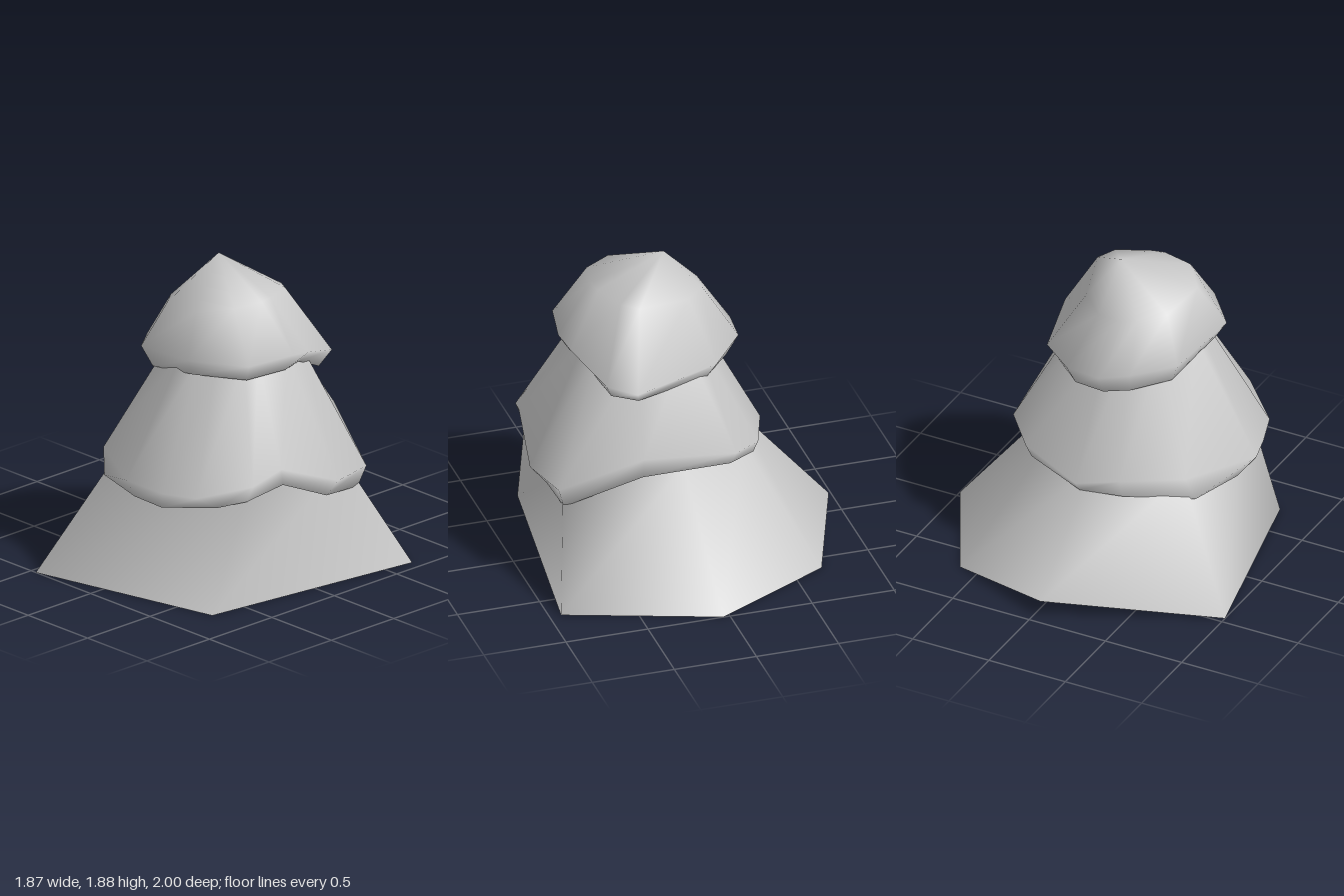
import * as THREE from 'three';

// Skins a stack of closed rings (lowest first); an optional apex closes the top.
function loft(rings, apex) {
  const n = rings[0].length;
  const index = [];
  for (let r = 0; r < rings.length - 1; r++) {
    for (let i = 0; i < n; i++) {
      const j = (i + 1) % n;
      const a = r * n + i, b = r * n + j, c = a + n, d = b + n;
      index.push(a, c, b, b, c, d);
    }
  }
  const points = rings.flat();
  if (apex) {
    const base = (rings.length - 1) * n;
    for (let i = 0; i < n; i++) index.push(base + i, points.length, base + (i + 1) % n);
    points.push(apex);
  }
  const geometry = new THREE.BufferGeometry();
  geometry.setAttribute('position', new THREE.Float32BufferAttribute(points.flat(), 3));
  geometry.setIndex(index);
  geometry.computeVertexNormals();
  return geometry;
}

// Shrinks a ring around a centre, with a new height for each point.
const shrink = (ring, cx, cz, k, height) => ring.map(([x, , z], i) => {
  const nx = cx + (x - cx) * k;
  return [nx, height(i, nx), cz + (z - cz) * k];
});

export function createModel() {
  const group = new THREE.Group();
  const grey = new THREE.MeshStandardMaterial({ color: 0xc8c8c8, side: THREE.DoubleSide });
  grey.name = 'plain grey';

  const add = (name, geometry) => {
    const mesh = new THREE.Mesh(geometry, grey);
    mesh.name = name;
    group.add(mesh);
  };

  // Bottom tier: six-sided open skirt with one raised corner
  add('bottomTier', loft([
    [[0.93, 0, -0.69], [0.74, 0, 0.73], [-0.46, 0, 1], [-0.935, 0.1, 0.04], [-0.68, 0, -0.62], [0.04, 0, -1]],
    [[0.785, 0.71, -0.28], [0.77, 0.71, 0.48], [-0.2, 0.71, 0.59], [-0.4, 0.71, 0.08], [-0.31, 0.71, -0.26], [0.1, 0.71, -0.43]],
  ]));

  // Middle tier: wavy rim turned under to a lip, narrowing upward
  const midRim = [
    [0.93, 0.67, -0.1], [0.87, 0.83, 0.3], [0.83, 0.76, 0.49], [0.61, 0.69, 0.73],
    [0.4, 0.68, 0.8], [0.17, 0.72, 0.875], [-0.27, 0.74, 0.64], [-0.44, 0.72, 0.3],
    [-0.52, 0.68, 0.05], [-0.38, 0.75, -0.35], [-0.19, 0.8, -0.53], [0.39, 0.88, -0.58],
    [0.85, 0.66, -0.4],
  ];
  const midLip = [
    [0.83, 0.55, -0.1], [0.83, 0.71, 0.25], [0.79, 0.66, 0.5], [0.65, 0.61, 0.6],
    [0.36, 0.575, 0.77], [0.13, 0.58, 0.77], [-0.22, 0.59, 0.68], [-0.42, 0.61, 0.3],
    [-0.485, 0.62, 0.06], [-0.36, 0.67, -0.32], [-0.17, 0.71, -0.48], [0.37, 0.72, -0.5],
    [0.81, 0.53, -0.37],
  ];
  add('middleTier', loft([
    midLip,
    midRim,
    shrink(midRim, 0.23, 0.06, 0.49, () => 1.4),
  ]));

  // Top tier: tilted cap with a turned-under rim, round shoulder and off-centre peak
  const topRim = [
    [0.71, 1.43, 0.05], [0.65, 1.42, 0.35], [0.37, 1.44, 0.575], [-0.1, 1.38, 0.5],
    [-0.28, 1.35, 0.28], [-0.36, 1.33, 0.12], [-0.34, 1.33, -0.1], [-0.13, 1.3, -0.34],
    [0.4, 1.27, -0.5], [0.56, 1.3, -0.4], [0.68, 1.4, -0.1],
  ];
  const topLipHeights = [1.32, 1.31, 1.33, 1.25, 1.21, 1.2, 1.2, 1.2, 1.19, 1.2, 1.33];
  add('topTier', loft([
    shrink(topRim, 0.19, 0.06, 0.87, i => topLipHeights[i]),
    topRim,
    shrink(topRim, 0.15, 0.19, 0.62, (i, x) => 1.645 + 0.14 * x),
  ], [0.07, 1.885, 0.04]));

  return group;
}
